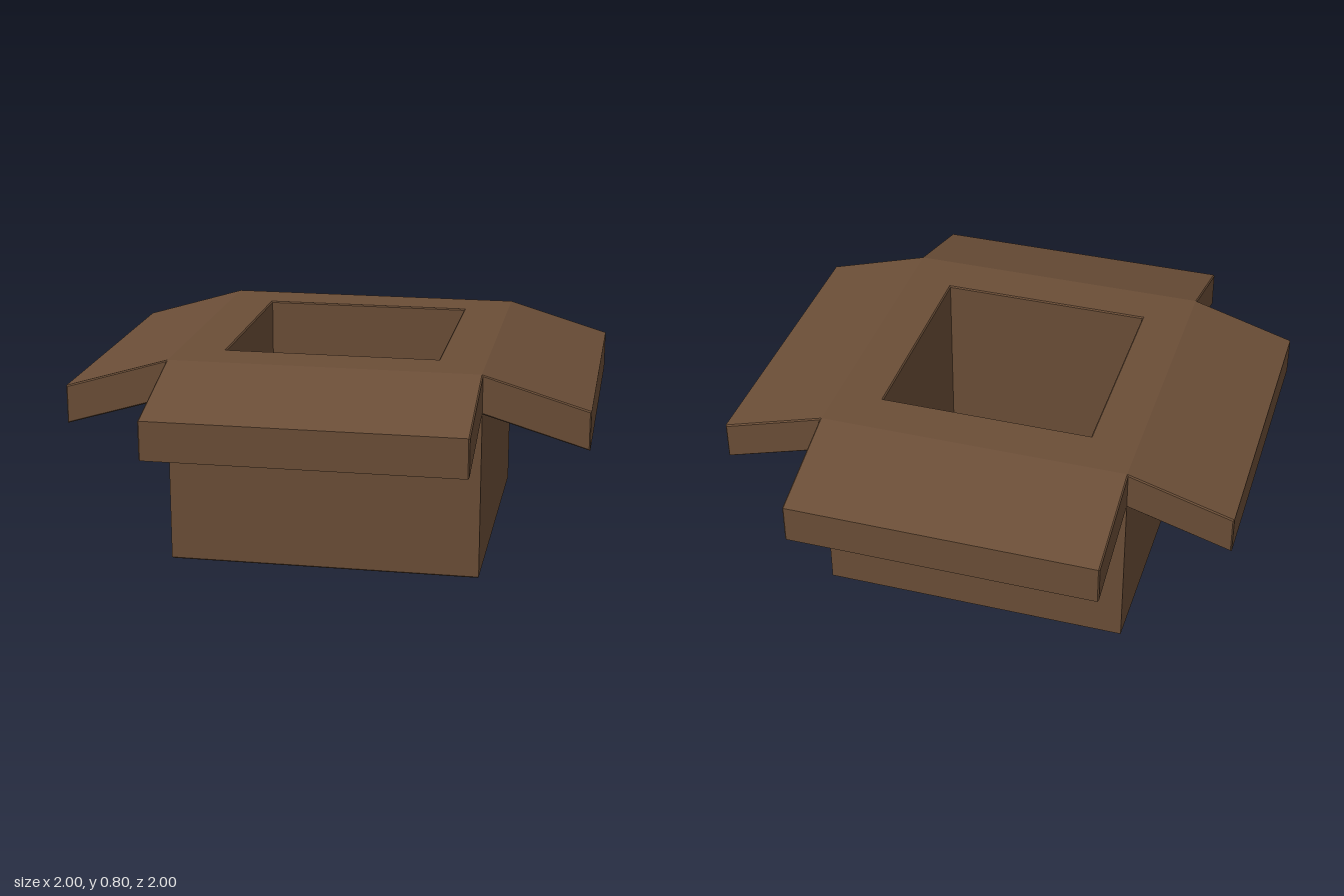
import * as THREE from 'three';

const BEVEL = 0.005;

// Closed outline from a list of corners
function outline(points, Type = THREE.Shape) {
  return new Type(points.map(([x, y]) => new THREE.Vector2(x, y)));
}

const square = (h) => [[-h, -h], [h, -h], [h, h], [-h, h]];

// Extrusion of exact length, centred on z, with slightly softened ends
function bevelled(shape, length) {
  const geometry = new THREE.ExtrudeGeometry(shape, {
    depth: length - 2 * BEVEL,
    bevelThickness: BEVEL,
    bevelSize: BEVEL,
    bevelOffset: -BEVEL,
    bevelSegments: 1,
  });
  return geometry.translate(0, 0, BEVEL - length / 2);
}

export function createModel() {
  const group = new THREE.Group();
  group.name = 'openBox';
  const brown = new THREE.MeshStandardMaterial({ color: 0x6b4e37 });
  brown.name = 'cardboardBrown';

  // Thick square walls around a shaft that is open at both ends
  const walls = outline(square(0.6));
  walls.holes.push(outline(square(0.412).reverse(), THREE.Path));
  const bodyGeometry = bevelled(walls, 0.8).rotateX(-Math.PI / 2).translate(0, 0.4, 0);
  const body = new THREE.Mesh(bodyGeometry, brown);
  body.name = 'boxWalls';
  group.add(body);

  // Four thick flaps sloping outward from the rim
  const flapProfile = outline([[0.595, 0.65], [1, 0.53], [1, 0.68], [0.595, 0.8]]);
  const flapGeometry = bevelled(flapProfile, 1.2);
  ['leftFlap', 'backFlap', 'rightFlap', 'frontFlap'].forEach((name, i) => {
    const flap = new THREE.Mesh(flapGeometry, brown);
    flap.name = name;
    flap.rotation.y = (i * Math.PI) / 2;
    group.add(flap);
  });

  return group;
}
